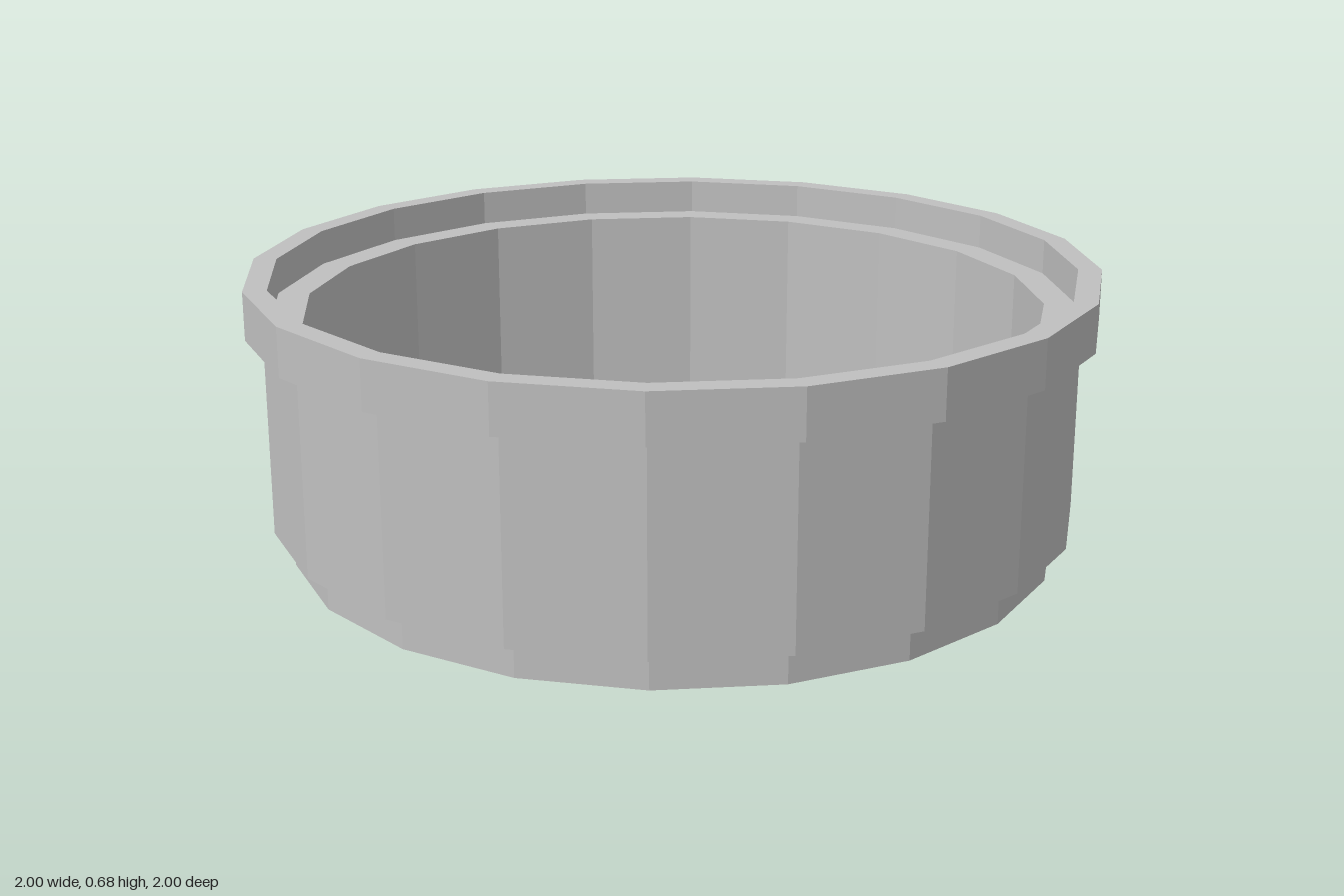
import * as THREE from 'three';

const SIDES = 20;
const APOTHEM = 1 / Math.cos(Math.PI / SIDES); // flat-to-centre distance -> corner radius

export function createModel() {
  const model = new THREE.Group();
  model.name = 'steamerBasket';
  const grey = new THREE.MeshStandardMaterial({ color: 0xbfbfbf });
  grey.name = 'plainGrey';

  const addBox = (parent, name, w, h, d, x, y, z) => {
    const mesh = new THREE.Mesh(new THREE.BoxGeometry(w, h, d), grey);
    mesh.name = name;
    mesh.position.set(x, y, z);
    parent.add(mesh);
  };

  // Faceted wall: foot, body, rim, inner lid ledge and bottom lip in one closed profile
  const profile = [
    [0.78, 0], [0.915, 0], [0.915, 0.085], [0.96, 0.085], [0.96, 0.56], [1, 0.56],
    [1, 0.675], [0.945, 0.675], [0.945, 0.59], [0.87, 0.59], [0.87, 0.03], [0.78, 0.03], [0.78, 0],
  ].map(([r, y]) => new THREE.Vector2(r * APOTHEM, y));
  const wallGeometry = new THREE.LatheGeometry(profile, SIDES, Math.PI / SIDES).toNonIndexed();
  wallGeometry.computeVertexNormals();
  const wall = new THREE.Mesh(wallGeometry, grey);
  wall.name = 'basketWall';
  model.add(wall);

  // Slatted floor, turned as one unit
  const floor = new THREE.Group();
  floor.name = 'slattedFloor';
  floor.rotation.y = THREE.MathUtils.degToRad(34);
  const count = 10, pitch = 0.174, slatWidth = 0.114;
  for (let i = 0; i < count; i++) {
    const z = (i - (count - 1) / 2) * pitch;
    const half = Math.sqrt(0.87 ** 2 - (Math.abs(z) + slatWidth / 2) ** 2);
    addBox(floor, 'floorSlat', 2 * half, 0.055, slatWidth, 0, 0.0575, z);
  }

  // Two battens across the slats
  for (const side of [-1, 1]) addBox(floor, 'crossBatten', 0.08, 0.028, 1.54, side * 0.375, 0.099, 0);
  model.add(floor);

  // Binding stitch on one back-left facet: an upright strip with two pairs of side stubs
  const stitch = new THREE.Group();
  stitch.name = 'bindingStitch';
  stitch.rotation.y = THREE.MathUtils.degToRad(144);
  const depth = 0.045, r = 0.973;
  addBox(stitch, 'stitchUpright', 0.06, 0.37, depth, 0, 0.34, r);
  for (const y of [0.257, 0.425])
    for (const side of [-1, 1]) addBox(stitch, 'stitchStub', 0.07, 0.064, depth, side * 0.065, y, r);
  model.add(stitch);

  return model;
}
